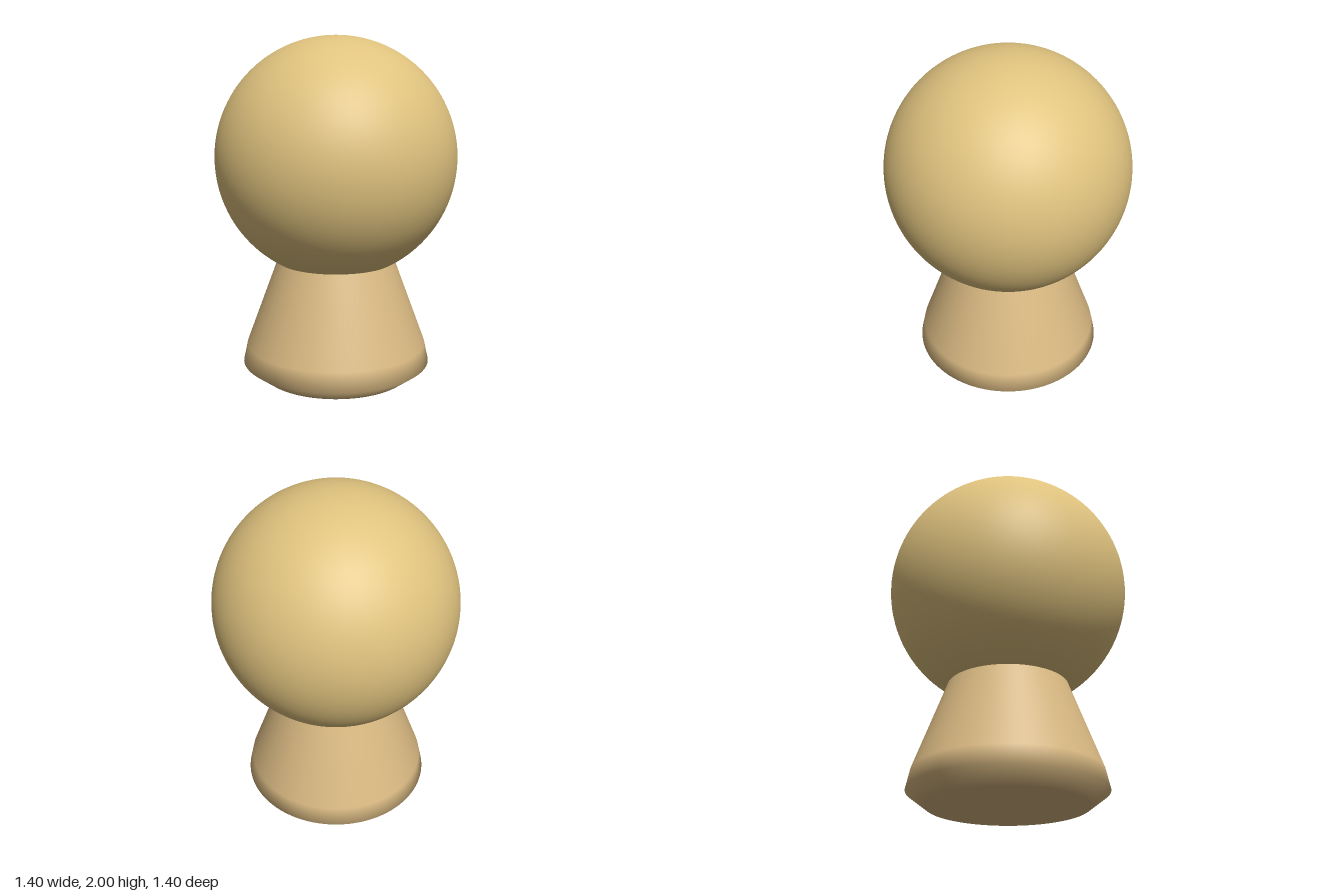
import * as THREE from 'three';

export function createModel() {
  const model = new THREE.Group();
  model.name = 'roundHeadedPeg';

  const headColour = new THREE.MeshStandardMaterial({ color: 0xdfc27e });
  headColour.name = 'pale gold';
  const baseColour = new THREE.MeshStandardMaterial({ color: 0xd9b982 });
  baseColour.name = 'light wood';

  // Round head
  const head = new THREE.Mesh(new THREE.SphereGeometry(0.7, 96, 64), headColour);
  head.name = 'head';
  head.position.y = 1.3;
  model.add(head);

  // Flared foot with a bevelled bottom; its top runs a little way into the head
  const profile = [
    [0, 0], [0.45, 0], [0.557, 0.08], [0.533, 0.19], [0.348, 0.69], [0.337, 0.72], [0, 0.72],
  ].map(([r, y]) => new THREE.Vector2(r, y));
  const base = new THREE.Mesh(new THREE.LatheGeometry(profile, 96), baseColour);
  base.name = 'base';
  model.add(base);

  return model;
}
